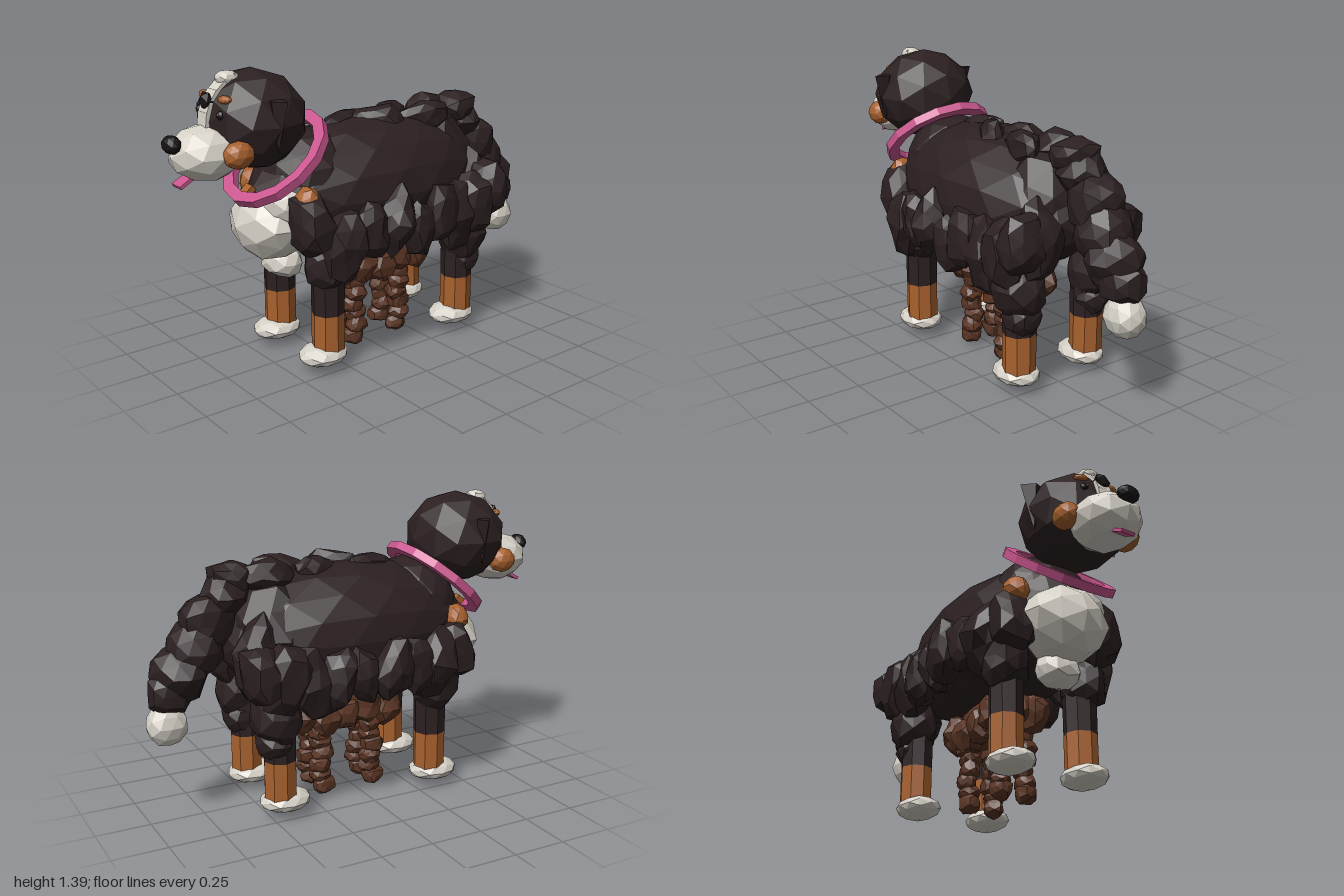
import * as THREE from 'three';

const paint = (name, color) => Object.assign(new THREE.MeshStandardMaterial({ color }), { name });

export function createModel() {
  const dark = paint('dark coat', 0x2c2021);
  const tan = paint('tan markings', 0xa8612e);
  const cream = paint('white markings', 0xd6d1c7);
  const pink = paint('collar pink', 0xcb578f);
  const brown = paint('underside brown', 0x5c3625);
  const black = paint('nose black', 0x171213);
  const model = new THREE.Group();
  model.name = 'dog';

  // Adds a faceted mesh
  function add(name, geo, mat, pos = [0, 0, 0], rot = [0, 0, 0]) {
    const g = geo.index ? geo.toNonIndexed() : geo;
    g.computeVertexNormals();
    const mesh = new THREE.Mesh(g, mat);
    mesh.name = name;
    mesh.position.set(...pos);
    mesh.rotation.set(...rot);
    model.add(mesh);
    return mesh;
  }

  // Faceted ellipsoid; lump > 0 makes its surface irregular
  let seed = 1;
  function blob(name, mat, pos, size, lump = 0, detail = 1, rot) {
    const g = new THREE.IcosahedronGeometry(1, detail);
    const p = g.attributes.position;
    const v = new THREE.Vector3();
    seed += 1.7;
    for (let i = 0; i < p.count; i++) {
      v.fromBufferAttribute(p, i);
      const n = Math.sin(v.x * 5 + seed) + Math.sin(v.y * 6 + seed * 2.3) + Math.sin(v.z * 5.5 + seed * 3.1);
      v.multiplyScalar(1 + lump * n / 2);
      p.setXYZ(i, v.x * size[0], v.y * size[1], v.z * size[2]);
    }
    return add(name, g, mat, pos, rot);
  }

  // Torso, shoulders and neck
  blob('body', dark, [0, 0.79, -0.03], [0.33, 0.32, 0.63], 0, 2);
  blob('neck', dark, [0, 0.87, 0.32], [0.235, 0.225, 0.22], 0, 2);
  blob('rump', dark, [0, 0.82, -0.42], [0.24, 0.26, 0.2], 0.08);

  // Swept tufts along the spine: x, y, z, width, length, turn
  [[-0.02, 1.055, 0.1, 0.05, 0.13, 0.2], [0.05, 1.065, -0.06, 0.06, 0.14, -0.5],
    [-0.02, 1.065, -0.18, 0.07, 0.12, 0.3], [0.08, 1.065, -0.32, 0.065, 0.14, -0.25],
    [-0.03, 1.065, -0.42, 0.09, 0.14, 0.1], [0.01, 1.075, -0.58, 0.1, 0.11, 0]]
    .forEach(([x, y, z, w, l, turn]) =>
      blob('spineTuft', dark, [x, y, z], [w, 0.08, l], 0.13, 1, [0.15, turn, 0]));

  for (const s of [-1, 1]) {
    // Shaggy coat along each side: x, y, z, radii
    [[0.23, 0.69, 0.43, 0.1, 0.16, 0.1], [0.27, 0.62, 0.3, 0.11, 0.17, 0.11],
      [0.31, 0.67, 0.17, 0.08, 0.14, 0.09], [0.325, 0.66, 0.04, 0.09, 0.15, 0.1],
      [0.31, 0.64, -0.1, 0.07, 0.14, 0.09], [0.315, 0.66, -0.22, 0.08, 0.15, 0.09],
      [0.29, 0.62, -0.34, 0.09, 0.17, 0.1], [0.28, 0.68, -0.46, 0.1, 0.17, 0.11],
      [0.27, 0.7, -0.56, 0.11, 0.14, 0.1], [0.17, 0.74, -0.55, 0.12, 0.17, 0.1]]
      .forEach(([x, y, z, a, b, c], i) =>
        blob('sideTuft', dark, [s * x, y + 0.02 * Math.sin(i * 2.4 + s), z], [a, b, c], 0.15, 1, [0.3 * Math.sin(i * 3 + s), 0, 0]));

    // Shoulder and thigh fluff above the legs
    blob('shoulder', dark, [s * 0.21, 0.52, 0.34], [0.11, 0.13, 0.12], 0.12);
    blob('thigh', dark, [s * 0.21, 0.5, -0.47], [0.11, 0.17, 0.12], 0.12);
    blob('hock', dark, [s * 0.2, 0.36, -0.48], [0.085, 0.08, 0.085], 0.1);

    // Legs with tan lower parts and white paws
    for (const [end, z, pawZ] of [['front', 0.33, 0.355], ['rear', -0.455, -0.43]]) {
      add(end + 'UpperLeg', new THREE.CylinderGeometry(0.078, 0.076, 0.26, 8), dark, [s * 0.195, 0.405, z]);
      add(end + 'LowerLeg', new THREE.CylinderGeometry(0.076, 0.076, 0.2, 8), tan, [s * 0.195, 0.175, z]);
      blob(end + 'Paw', cream, [s * 0.19, 0.076, pawZ], [0.1, 0.052, 0.122]);
    }

    // Lumpy hanging strands under the belly
    for (const z of [0.08, -0.185]) {
      for (let i = 0; i < 6; i++) {
        blob('strand', brown, [s * 0.065 + 0.008 * Math.sin(i * 2), 0.05 + i * 0.054, z + 0.01 * Math.cos(i * 2)],
          [0.048, 0.048, 0.056], 0.13);
      }
    }

    // Tan shoulder patch and cheek
    blob('shoulderPatch', tan, [s * 0.22, 0.82, 0.45], [0.062, 0.066, 0.06], 0.08);
    blob('cheek', tan, [s * 0.163, 1.06, 0.745], [0.054, 0.06, 0.07]);

    // Thin pointed ear, wide at the top
    const ear = new THREE.ConeGeometry(0.062, 0.22, 4).rotateX(Math.PI).scale(1, 1, 0.55);
    add('ear', ear, dark, [s * 0.22, 1.165, 0.59], [0, s * 0.2, 0]);

    // Eye, glint and eyebrow
    blob('eye', black, [s * 0.085, 1.215, 0.775], [0.021, 0.021, 0.02]);
    blob('eyeGlint', cream, [s * 0.085 + 0.007, 1.222, 0.794], [0.005, 0.005, 0.003], 0, 0);
    blob('eyebrow', tan, [s * 0.084, 1.277, 0.755], [0.034, 0.018, 0.022], 0, 1, [0, s * 0.35, 0]);
  }

  // Brown woolly belly
  for (let i = 0; i < 5; i++) {
    for (const s of [-1, 1]) {
      blob('bellyWool', brown, [s * 0.07, 0.4 + 0.02 * Math.sin(i * 2 + s), 0.15 - i * 0.108],
        [0.075, 0.09, 0.085], 0.16);
    }
  }
  blob('belly', brown, [0, 0.43, -0.06], [0.12, 0.12, 0.27], 0.06, 2);

  // White chest
  blob('chest', cream, [-0.01, 0.69, 0.49], [0.212, 0.175, 0.18], 0.05);
  blob('chestTop', cream, [0.09, 0.79, 0.49], [0.115, 0.1, 0.1], 0.08);
  blob('chestBottom', cream, [0, 0.495, 0.44], [0.105, 0.085, 0.085], 0.08);

  // Head and muzzle
  blob('head', dark, [0, 1.165, 0.58], [0.247, 0.219, 0.237]);
  blob('muzzle', cream, [0, 1.05, 0.808], [0.158, 0.12, 0.162]);
  blob('nose', black, [0, 1.105, 0.962], [0.054, 0.04, 0.038]);
  add('tongue', new THREE.BoxGeometry(0.07, 0.015, 0.1), pink, [0, 0.95, 0.905], [0.5, 0, 0]);

  // White blaze following the curve of the forehead
  for (let i = 0; i < 5; i++) {
    const a = 0.12 + i * 0.23;
    add('blaze', new THREE.BoxGeometry(0.072, 0.06, 0.02), cream,
      [0, 1.165 + 0.212 * Math.sin(a), 0.58 + 0.23 * Math.cos(a)], [-a, 0, 0]);
  }
  blob('crownTuft', cream, [0, 1.35, 0.695], [0.046, 0.034, 0.05], 0.06);
  blob('browSpot', black, [0, 1.265, 0.795], [0.044, 0.044, 0.026], 0, 0);

  // Tilted flat band collar with a small tag
  const band = [[0.215, -0.02], [0.268, -0.02], [0.268, 0.02], [0.215, 0.02], [0.215, -0.02]]
    .map(([x, y]) => new THREE.Vector2(x, y));
  const tilt = 0.706;
  add('collar', new THREE.LatheGeometry(band, 14), pink, [0, 0.975, 0.465], [tilt, 0, 0]);
  add('tag', new THREE.BoxGeometry(0.05, 0.03, 0.06), tan, [0, 0.845, 0.615], [tilt, 0, 0]);

  // Drooping shaggy tail: y, z, radius
  [[1.0, -0.62, 0.11], [0.89, -0.71, 0.125], [0.78, -0.76, 0.13], [0.68, -0.83, 0.13], [0.6, -0.885, 0.1]]
    .forEach(([y, z, r]) => blob('tail', dark, [0, y, z], [r, r * 1.05, r], 0.11));
  blob('tailTip', cream, [0, 0.455, -0.905], [0.085, 0.1, 0.095], 0.05);

  return model;
}
